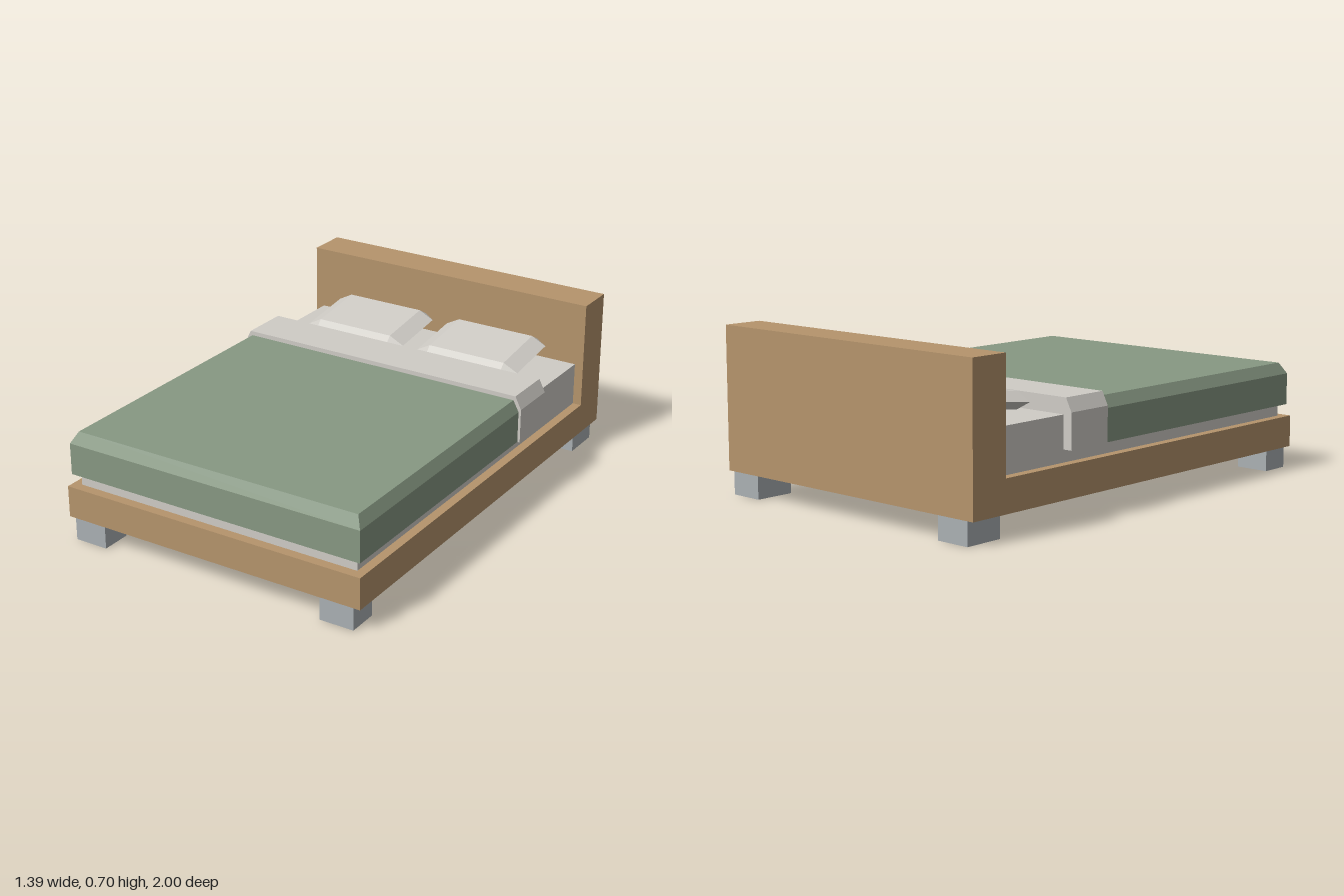
import * as THREE from 'three';
import { ConvexGeometry } from 'three/addons/geometries/ConvexGeometry.js';

const material = (name, color) => {
  const m = new THREE.MeshStandardMaterial({ color });
  m.name = name;
  return m;
};

export function createModel() {
  const wood = material('wood', 0xb5946c);
  const linen = material('linen', 0xcfccc6);
  const green = material('green blanket', 0x879883);
  const grey = material('grey feet', 0xaab0b3);

  const bed = new THREE.Group();
  bed.name = 'bed';

  const add = (name, geometry, mat) => {
    const mesh = new THREE.Mesh(geometry, mat);
    mesh.name = name;
    bed.add(mesh);
    return mesh;
  };
  // Box given by its limits on each axis
  const box = (name, mat, x0, x1, y0, y1, z0, z1) => {
    const mesh = add(name, new THREE.BoxGeometry(x1 - x0, y1 - y0, z1 - z0), mat);
    mesh.position.set((x0 + x1) / 2, (y0 + y1) / 2, (z0 + z1) / 2);
    return mesh;
  };

  // Wooden base and headboard
  box('frame', wood, -0.695, 0.695, 0.097, 0.233, -0.825, 1);
  box('headboard', wood, -0.695, 0.695, 0.097, 0.7, -1, -0.825);

  // Four block feet
  for (const s of [-1, 1]) {
    const side = s > 0 ? 'left' : 'right';
    const [a, b] = s > 0 ? [0.515, 0.665] : [-0.665, -0.515];
    box(side + 'FrontFoot', grey, a, b, 0, 0.097, 0.868, 0.999);
    box(side + 'BackFoot', grey, a, b, 0, 0.097, -0.999, -0.825);
  }

  box('mattress', linen, -0.656, 0.656, 0.233, 0.42, -0.825, 0.958);

  // Blanket with bevelled sides and foot end
  const blanket = [];
  for (const s of [-1, 1]) {
    for (const [x, y, zFoot] of [[0.684, 0.284, 0.984], [0.684, 0.42, 0.984], [0.658, 0.468, 0.955]]) {
      blanket.push(new THREE.Vector3(s * x, y, -0.25), new THREE.Vector3(s * x, y, zFoot));
    }
  }
  add('blanket', new ConvexGeometry(blanket), green);

  // Folded sheet over the head of the blanket
  const fold = new THREE.Shape([
    [-0.695, 0.284], [0.695, 0.284], [0.695, 0.432],
    [0.667, 0.487], [-0.667, 0.487], [-0.695, 0.432],
  ].map(([x, y]) => new THREE.Vector2(x, y)));
  const foldMesh = add('foldedSheet',
    new THREE.ExtrudeGeometry(fold, { depth: 0.215, bevelEnabled: false }), linen);
  foldMesh.position.z = -0.46;

  // Pillows: flat faces above and below a wider rim with cut corners
  const points = [];
  for (const sx of [-1, 1]) {
    for (const sz of [-1, 1]) {
      points.push(
        new THREE.Vector3(sx * 0.183, 0.036, sz * 0.131),
        new THREE.Vector3(sx * 0.183, -0.036, sz * 0.131),
        new THREE.Vector3(sx * 0.248, 0, sz * 0.131),
        new THREE.Vector3(sx * 0.183, 0, sz * 0.177),
      );
    }
  }
  const pillow = new ConvexGeometry(points);
  for (const s of [-1, 1]) {
    const mesh = add(s > 0 ? 'leftPillow' : 'rightPillow', pillow, linen);
    mesh.position.set(s * 0.285, 0.478, -0.646);
    mesh.rotation.x = 0.133;
  }

  return bed;
}
